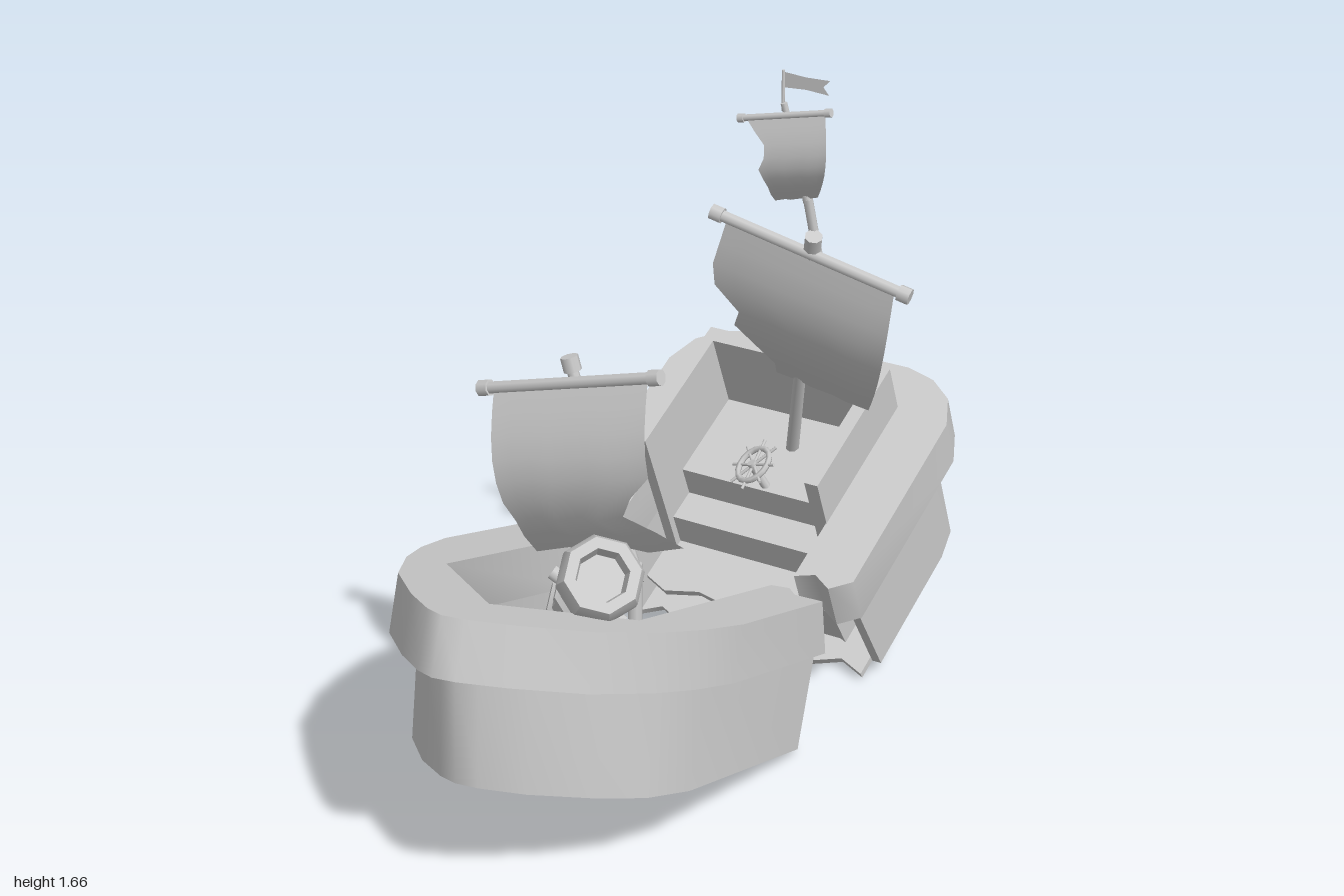
import * as THREE from 'three';
import { toCreasedNormals } from 'three/addons/utils/BufferGeometryUtils.js';

const grey = new THREE.MeshStandardMaterial({ color: 0xcccccc });
const cloth = new THREE.MeshStandardMaterial({ color: 0xcccccc, side: THREE.DoubleSide });
const V = (x, y, z) => new THREE.Vector3(x, y, z);

function add(parent, name, geometry, material = grey) {
  const mesh = new THREE.Mesh(geometry, material);
  mesh.name = name;
  parent.add(mesh);
  return mesh;
}

// Plan outline [x, z] raised from y0 to y1; bend(p) moves each corner
function slab(parent, name, plan, y0, y1, bend = (p) => p) {
  const shape = new THREE.Shape(plan.map(([x, z]) => new THREE.Vector2(x, -z)));
  const g = new THREE.ExtrudeGeometry(shape, { depth: y1 - y0, bevelEnabled: false });
  g.rotateX(-Math.PI / 2).translate(0, y0, 0);
  const p = g.attributes.position;
  for (let i = 0; i < p.count; i++) {
    const v = bend(V().fromBufferAttribute(p, i));
    p.setXYZ(i, v.x, v.y, v.z);
  }
  return add(parent, name, toCreasedNormals(g, 1.1));
}

function box(parent, name, x0, x1, y0, y1, z0, z1) {
  const g = new THREE.BoxGeometry(x1 - x0, y1 - y0, z1 - z0);
  g.translate((x0 + x1) / 2, (y0 + y1) / 2, (z0 + z1) / 2);
  return add(parent, name, g);
}

// Half outline on the +x side, then its mirror running back
const mirrored = (half) => [...half, ...half.filter(([x]) => x > 0).reverse().map(([x, z]) => [-x, z])];

// Inner face of a hull wall; the end farthest from the break moves in by the wall thickness
const inset = (half) => half.map(([x, z]) => [x * 0.93, z * 0.97]);

function rod(parent, name, a, b, r0, r1 = r0) {
  const m = add(parent, name, new THREE.CylinderGeometry(r1, r0, a.distanceTo(b), 8));
  m.position.copy(a).lerp(b, 0.5);
  m.quaternion.setFromUnitVectors(V(0, 1, 0), b.clone().sub(a).normalize());
  return m;
}

// Yard with a thicker cap on each end
function yard(parent, a, b, r) {
  rod(parent, 'yard', a, b, r);
  const d = b.clone().sub(a).normalize().multiplyScalar(r * 2);
  rod(parent, 'yardCap', a, a.clone().add(d), r * 1.35);
  rod(parent, 'yardCap', b, b.clone().sub(d), r * 1.35);
}

// Billowing sail between four corners; left and right list the torn edge from top to bottom
function sail(parent, name, tl, tr, bl, br, bulge, left, right, hem) {
  const rows = left.length - 1, n = 8;
  const g = new THREE.PlaneGeometry(1, 1, n, rows);
  const p = g.attributes.position;
  for (let j = 0; j <= rows; j++) for (let i = 0; i <= n; i++) {
    const s = THREE.MathUtils.lerp(left[j], right[j], i / n);
    const t = (j / rows) * (1 - hem * (i % 3));
    const v = tl.clone().lerp(tr, s).lerp(bl.clone().lerp(br, s), t);
    v.addScaledVector(bulge, Math.sin(Math.PI * t));
    p.setXYZ(j * (n + 1) + i, v.x, v.y, v.z);
  }
  g.computeVertexNormals();
  return add(parent, name, g, cloth);
}

function bowHalf() {
  const g = new THREE.Group();
  g.name = 'bowHalf';
  g.position.set(-0.03, 0.02, -0.02);
  g.rotation.x = -0.323;
  const side = [[0.355, 0], [0.355, 0.56], [0.32, 0.7], [0.25, 0.81], [0.14, 0.93], [0.05, 0.99], [0, 1.005]];
  const inner = inset(side);
  const ragged = [[-0.28, 0.02], [-0.2, -0.01], [-0.12, 0.015], [-0.04, 0.005], [0.03, 0.03], [0.12, -0.01], [0.2, 0.02], [0.29, -0.015]];
  // Raked bow, sloping break across the floors
  const rake = (p) => {
    if (p.z > 0.5) p.z += (p.z - 0.5) * p.y * 0.54;
    else if (p.z < 0.2 && Math.abs(p.x) < 0.34) p.z += p.y * 0.35;
    return p;
  };
  slab(g, 'bowHullWall', [...mirrored(side), ...mirrored(inner).reverse()], 0, 0.28, rake);
  slab(g, 'bowBottom', [...mirrored(inner), ...ragged], 0.001, 0.02, rake);
  slab(g, 'bowDeck', [...mirrored(inner), ...ragged], 0.185, 0.205, rake);
  const opening = [[0.26, 0.76], [0, 0.98], [-0.26, 0.76]];
  slab(g, 'bowBulwark', [...mirrored(inner), [-0.26, 0.02], [-0.26, 0.76], [0, 0.9], [0.26, 0.76], [0.26, 0.02]], 0.2, 0.279, rake);
  // Raised rim, its broken ends slanting forward as they rise
  slab(g, 'bowRim', [
    ...mirrored([[0.41, 0.13], [0.41, 0.54], [0.385, 0.68], [0.345, 0.8], [0.265, 0.95], [0.14, 1.08], [0.05, 1.15], [0, 1.17]]),
    [-0.36, 0.19], [-0.31, 0.15], [-0.26, 0.17], ...opening.reverse(),
    [0.26, 0.11], [0.3, 0.09], [0.34, 0.14],
  ], 0.27, 0.41, (p) => {
    if (p.z < 0.2) p.z -= (0.41 - p.y) * 0.5;
    return p;
  });
  return g;
}

function sternHalf() {
  const g = new THREE.Group();
  g.name = 'sternHalf';
  g.position.set(-0.03, 0.01, -0.42);
  g.rotation.x = 0.401;
  const side = [[0.355, 0], [0.355, -0.44], [0.34, -0.53], [0.29, -0.6], [0.2, -0.632]];
  const inner = inset(side);
  const ragged = [[-0.28, -0.03], [-0.19, 0.01], [-0.1, -0.015], [0, 0.005], [0.08, -0.02], [0.17, 0.01], [0.26, -0.03]];
  const lean = (p) => {
    if (p.z > -0.1) p.z += p.y * 0.18;
    return p;
  };
  // The left wall is broken off a little farther back
  slab(g, 'sternHullWall', [[0.355, -0.06], ...mirrored(side).slice(1), ...mirrored(inner).reverse().slice(0, -1), [0.33, -0.06]], 0, 0.335, lean);
  slab(g, 'sternBottom', [...mirrored(inner), ...ragged], 0.001, 0.02, lean);
  slab(g, 'sternDeck', [...mirrored(inner), ...ragged], 0.185, 0.205, lean);
  slab(g, 'sternBulwark', [...mirrored(inner), [-0.26, 0], [-0.26, -0.48], [0.26, -0.48], [0.26, 0]], 0.2, 0.336, lean);
  // Rim: solid behind the cabin, with two broken arms reaching forward
  slab(g, 'sternRim', [
    [0.23, -0.657], [0.31, -0.635], [0.375, -0.585], [0.41, -0.5], [0.41, 0.05], [0.36, 0.09], [0.31, 0.06], [0.26, 0.08],
    [0.26, -0.48], [-0.26, -0.48], [-0.26, 0.13], [-0.3, 0.17], [-0.34, 0.14], [-0.38, 0.17], [-0.41, 0.14],
    [-0.41, -0.5], [-0.375, -0.585], [-0.31, -0.635], [-0.23, -0.657],
  ], 0.335, 0.472);
  // Cabin walls, open to the front and above
  box(g, 'rightCabinWall', -0.262, -0.232, 0.2, 0.612, -0.52, -0.1);
  box(g, 'leftCabinWall', 0.225, 0.262, 0.2, 0.612, -0.52, -0.1);
  box(g, 'cabinBackWall', -0.232, 0.225, 0.2, 0.612, -0.52, -0.475);
  // Steps up to the helm
  box(g, 'lowerStep', -0.232, 0.225, 0.2, 0.3, -0.475, -0.12);
  box(g, 'upperStep', -0.232, 0.225, 0.3, 0.39, -0.475, -0.21);
  return g;
}

function helm() {
  const g = new THREE.Group();
  g.name = 'helm';
  g.position.set(-0.05, 0.52, -0.46);
  g.rotation.set(-0.95, -0.4, 0);
  add(g, 'wheelRing', new THREE.TorusGeometry(0.05, 0.008, 6, 16));
  for (let i = 0; i < 8; i++) {
    const a = (i * Math.PI) / 4;
    rod(g, 'wheelSpoke', V(0, 0, 0), V(Math.cos(a) * 0.075, Math.sin(a) * 0.075, 0), 0.004);
  }
  rod(g, 'wheelPost', V(0, -0.03, -0.1), V(0, 0, 0.01), 0.012);
  return g;
}

function cannon() {
  const g = new THREE.Group();
  g.name = 'cannon';
  // Barrel profile from the rear knob to the muzzle and into the bore
  const profile = [[0, -0.05], [0.028, -0.035], [0.022, 0], [0.065, 0.01], [0.085, 0.04], [0.085, 0.07], [0.075, 0.08],
    [0.073, 0.17], [0.085, 0.18], [0.085, 0.21], [0.073, 0.22], [0.07, 0.32], [0.1, 0.34], [0.1, 0.37],
    [0.088, 0.4], [0.062, 0.4], [0.055, 0.365], [0, 0.365]].map(([r, y]) => new THREE.Vector2(r, y));
  add(g, 'barrel', toCreasedNormals(new THREE.LatheGeometry(profile, 8), 0.6));
  rod(g, 'trunnion', V(-0.1, 0.15, 0), V(0.1, 0.15, 0), 0.018);
  g.position.set(-0.045, 0.51, 0.39);
  g.quaternion.setFromUnitVectors(V(0, 1, 0), V(0.52, 0.64, 0.56).normalize());
  return g;
}

function foreRig() {
  const g = new THREE.Group();
  g.name = 'foreRig';
  rod(g, 'mastStub', V(0.01, 0.31, 0.23), V(0, 0.56, 0.21), 0.018);
  rod(g, 'foreMast', V(0, 0.54, 0.21), V(-0.18, 1.04, 0.2), 0.017, 0.014);
  rod(g, 'mastCap', V(-0.172, 1.02, 0.2), V(-0.182, 1.055, 0.2), 0.022);
  yard(g, V(-0.415, 0.93, 0.23), V(0.085, 1.075, 0.23), 0.015);
  sail(g, 'foreSail', V(-0.375, 0.945, 0.23), V(0.05, 1.06, 0.23), V(-0.265, 0.53, 0.23), V(0.155, 0.64, 0.23), V(0, 0, 0.085),
    [0, 0, 0, 0, 0, 0, 0.02, 0, 0], [1, 1, 1, 1, 1, 0.85, 0.75, 0.9, 1], 0.02);
  return g;
}

function mainRig() {
  const g = new THREE.Group();
  g.name = 'mainRig';
  rod(g, 'mainMast', V(-0.03, 0.47, -0.63), V(0.195, 1.25, -0.295), 0.018, 0.014);
  rod(g, 'mastCap', V(0.187, 1.225, -0.306), V(0.198, 1.262, -0.29), 0.022);
  yard(g, V(-0.075, 1.275, -0.28), V(0.435, 1.14, -0.335), 0.015);
  sail(g, 'mainSail', V(-0.035, 1.255, -0.28), V(0.395, 1.145, -0.33), V(-0.17, 0.82, -0.475), V(0.245, 0.72, -0.515), V(0.03, -0.02, 0.06),
    [0, -0.03, -0.06, -0.04, 0.12, 0.1, 0.25, 0.38, 0.4], [1, 1, 1, 1, 1, 1, 1, 1, 1], 0.01);
  // Bent topmast with its own small sail
  rod(g, 'topMast', V(0.2, 1.15, -0.33), V(0.175, 1.35, -0.3), 0.012);
  rod(g, 'topMast', V(0.175, 1.34, -0.3), V(0.125, 1.59, -0.265), 0.011, 0.008);
  yard(g, V(0.01, 1.535, -0.255), V(0.25, 1.588, -0.265), 0.008);
  sail(g, 'topSail', V(0.03, 1.54, -0.255), V(0.235, 1.583, -0.262), V(0.09, 1.33, -0.295), V(0.2, 1.355, -0.3), V(0.035, -0.005, 0.045),
    [0, 0.05, 0.12, 0.05, -0.1, -0.08, -0.05, -0.05, 0], [1, 1, 1, 1, 1, 1, 1, 1, 1], 0.01);
  // Swallow-tailed pennant
  rod(g, 'flagPole', V(0.122, 1.57, -0.267), V(0.12, 1.668, -0.27), 0.004);
  const flag = new THREE.Shape([[0, 0], [0.06, 0.004], [0.12, 0], [0.105, 0.018], [0.122, 0.036], [0.06, 0.034], [0, 0.038]].map(([x, y]) => new THREE.Vector2(x, y)));
  add(g, 'pennant', new THREE.ShapeGeometry(flag), cloth).position.set(0.12, 1.626, -0.27);
  return g;
}

export function createModel() {
  const model = new THREE.Group();
  model.name = 'brokenShip';
  model.add(bowHalf(), sternHalf(), helm(), cannon(), foreRig(), mainRig());
  return model;
}
